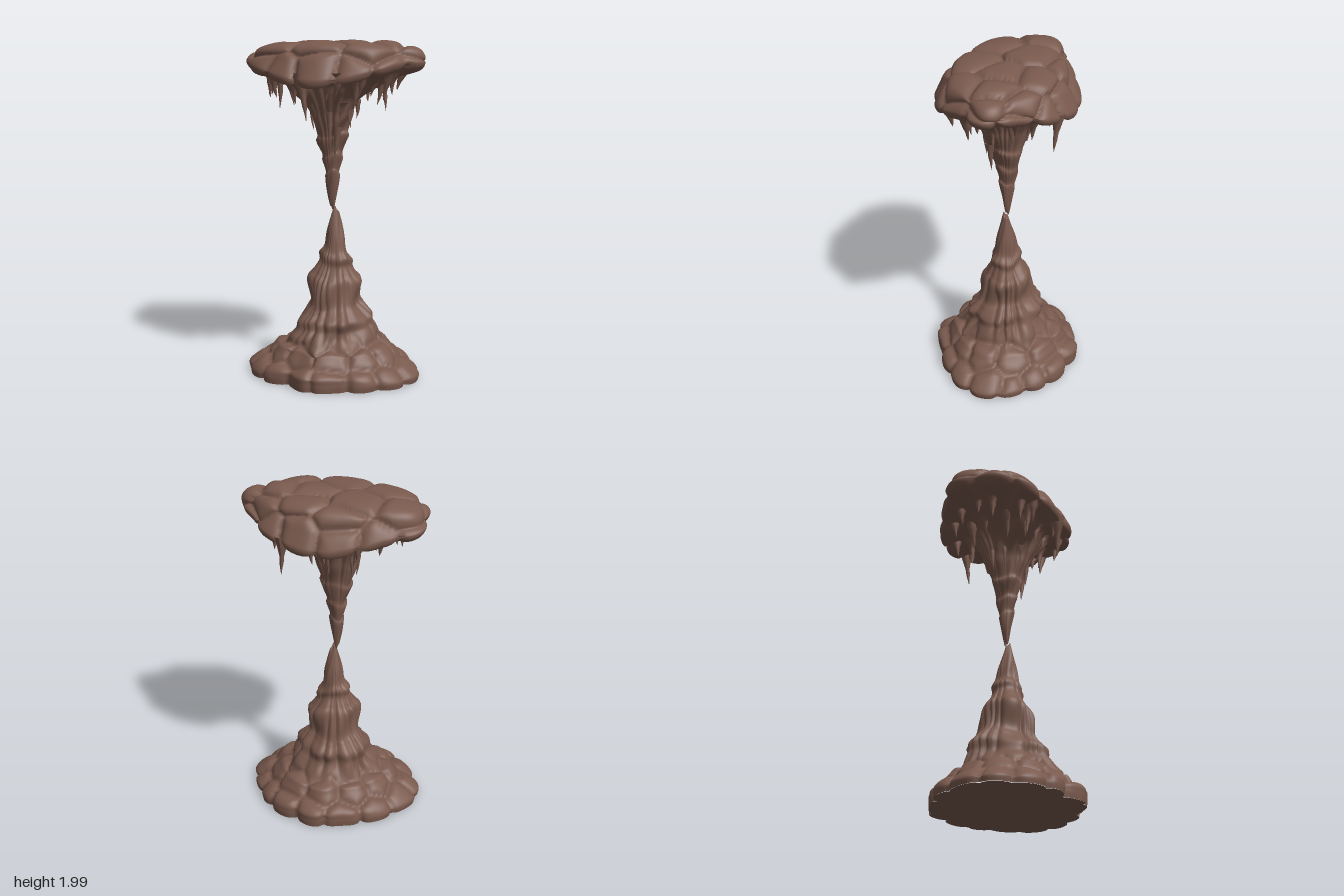
import * as THREE from 'three';

const SEGMENTS = 180, STEPS = 8, TURN = Math.PI * 2;
const { smoothstep } = THREE.MathUtils;

function seeded(seed) {
  return () => {
    seed = (seed * 16807) % 2147483647;
    return seed / 2147483647;
  };
}

// Catmull-Rom blend between profile rows
function spline(rows, t, k) {
  const last = rows.length - 1, i = Math.min(Math.floor(t), last - 1), f = t - i;
  const v = (n) => rows[Math.max(0, Math.min(last, n))][k];
  const [a, b, c, d] = [v(i - 1), v(i), v(i + 1), v(i + 2)];
  return b + 0.5 * f * (c - a + f * (2 * a - 5 * b + 4 * c - d + f * (3 * (b - c) + d - a)));
}

// Plan outline: evenly spaced radius factors, starting at +x and turning towards +z
function planFactor(factors, angle) {
  const t = (angle / TURN) * factors.length, i = Math.floor(t);
  const next = factors[(i + 1) % factors.length];
  return factors[i] + (next - factors[i]) * smoothstep(t - i, 0, 1);
}

// Rounded stones split by creases, from the distances to the two nearest stone centres
function stoneRelief(stones, x, y, z) {
  let d1 = 9, d2 = 9, step = 0;
  for (const s of stones) {
    const d = Math.hypot(x - s[0], (y - s[1]) * 1.1, z - s[2]);
    if (d < d1) { d2 = d1; d1 = d; step = s[3]; } else if (d < d2) d2 = d;
  }
  return -0.036 * Math.exp(-(d2 - d1) / 0.045) - step;
}

// Rows are [y, x radius, z radius]; stony(y) blends flowstone columns into stones
function rockBody({ rows, plan, stones, stony, drop, lean }) {
  const count = (rows.length - 1) * STEPS, pos = [], weights = [], index = [];
  for (let i = 0; i <= count; i++) {
    const [y, rx, rz] = [0, 1, 2].map((k) => spline(rows, i / STEPS, k));
    const w = stony(y), end = Math.min(1, i / STEPS, (count - i) / STEPS);
    for (let j = 0; j < SEGMENTS; j++) {
      const a = (j / SEGMENTS) * TURN, c = Math.cos(a), s = Math.sin(a);
      let r = (1 + w * (planFactor(plan, a) - 1)) / Math.hypot(c / rx, s / rz);
      // Vertical columns and spiral ledges
      const warp = a + 0.16 * Math.sin(3 * a + 1) + 0.09 * Math.sin(5 * a + y * 4);
      const column = Math.abs(Math.sin(warp * 8.5)) * 0.6 + Math.abs(Math.sin(warp * 5)) * 0.4 - 0.7;
      const spiral = 0.05 * Math.sin(2 * a - y * 16) + 0.04 * Math.sin(5 * a + y * 23);
      r *= 1 + (1 - w) * (Math.min(0.18, r) * column + spiral);
      const wave = 0.02 * (1 - w) * end * (Math.sin(a + 0.8 + y * 5) + 0.4 * Math.sin(3 * a + y * 9));
      pos.push(c * r + lean * Math.max(0, 1 - r / 0.3), y + wave - drop(y) * s * s, s * r);
      weights.push(w);
      if (i < count) {
        const p = i * SEGMENTS + j, q = i * SEGMENTS + (j + 1) % SEGMENTS;
        index.push(p, p + SEGMENTS, q, q, p + SEGMENTS, q + SEGMENTS);
      }
    }
  }
  const geo = new THREE.BufferGeometry();
  geo.setAttribute('position', new THREE.Float32BufferAttribute(pos, 3));
  geo.setIndex(index);
  geo.computeVertexNormals();
  // Push the surface in along its normals to carve the stones
  const P = geo.attributes.position, N = geo.attributes.normal;
  for (let i = 0; i < P.count; i++) {
    const [x, y, z] = [P.getX(i), P.getY(i), P.getZ(i)];
    const d = weights[i] * stoneRelief(stones, x, y, z);
    P.setXYZ(i, x + N.getX(i) * d, Math.max(0.005, y + N.getY(i) * d), z + N.getZ(i) * d);
  }
  geo.computeVertexNormals();
  return geo;
}

// Hanging drip: an inverted cone, swollen in places and slightly bent
function dripGeometry(x, z, top, bottom, radius, phase) {
  const h = top - bottom, geo = new THREE.ConeGeometry(radius, h, 10, 6, true);
  geo.rotateX(Math.PI);
  const P = geo.attributes.position;
  for (let i = 0; i < P.count; i++) {
    const t = 0.5 - P.getY(i) / h;
    const swell = 1 - 0.25 * Math.sin(t * Math.PI) + 0.1 * Math.sin(t * 14 + phase);
    P.setX(i, P.getX(i) * swell + 0.012 * Math.sin(t * 3 + phase) - x * 0.06 * t);
    P.setZ(i, P.getZ(i) * swell - z * 0.06 * t);
  }
  geo.computeVertexNormals();
  geo.translate(x, (top + bottom) / 2, z);
  return geo;
}

export function createModel() {
  const group = new THREE.Group();
  const rock = new THREE.MeshStandardMaterial({ color: 0x7a5a4e });
  rock.name = 'brown rock';
  const random = seeded(4127);
  const add = (name, geo, parent = group) => {
    const mesh = new THREE.Mesh(geo, rock);
    mesh.name = name;
    parent.add(mesh);
  };
  const ringOfStones = (n, rx, rz, y, step) => Array.from({ length: n }, (_, i) => {
    const a = ((i + 0.5 * random()) / n) * TURN;
    return [Math.cos(a) * rx, y + (random() - 0.5) * 0.05, Math.sin(a) * rz, random() * step];
  });

  // Stalagmite: stone skirt, then fluted terraces narrowing to a tip
  const stalagmite = rockBody({
    lean: 0.008,
    plan: [1, 0.99, 0.95, 0.93, 1.02, 0.91, 0.99, 1.01, 1.04, 0.97, 0.96, 0.94, 1.03, 0.98, 0.98, 0.95],
    stones: [...ringOfStones(15, 0.48, 0.42, 0.06, 0.012), ...ringOfStones(11, 0.34, 0.32, 0.18, 0.02),
      ...ringOfStones(8, 0.22, 0.24, 0.27, 0.01)],
    stony: (y) => 1 - smoothstep(y, 0.2, 0.3),
    drop: () => 0,
    rows: [
      [0.005, 0.535, 0.455], [0.05, 0.535, 0.457], [0.1, 0.48, 0.45], [0.17, 0.39, 0.37], [0.21, 0.35, 0.34],
      [0.24, 0.28, 0.28], [0.3, 0.215, 0.235], [0.36, 0.21, 0.23], [0.41, 0.18, 0.18], [0.46, 0.15, 0.155],
      [0.58, 0.155, 0.147], [0.63, 0.122, 0.12], [0.68, 0.094, 0.092], [0.725, 0.095, 0.092], [0.77, 0.065, 0.07],
      [0.86, 0.055, 0.05], [0.98, 0.022, 0.02], [1, 0.014, 0.014], [1.002, 0.001, 0.001],
    ],
  });
  add('stalagmite', stalagmite);

  // Flat underside that closes the skirt
  const P = stalagmite.attributes.position;
  const edge = Array.from({ length: SEGMENTS }, (_, j) => new THREE.Vector2(P.getX(j), P.getZ(j)));
  const underside = new THREE.ShapeGeometry(new THREE.Shape(edge));
  underside.rotateX(Math.PI / 2).translate(0, 0.005, 0);
  add('stalagmiteUnderside', underside);

  // Stalactite: twisted tip widening to a ceiling slab; slab stones are [x, z, step down]
  const slabStones = [[-0.43, -0.15, 0], [-0.16, -0.14, 0.003], [-0.32, 0.12, 0.012], [0.12, -0.2, 0.01],
    [0.13, 0, 0.004], [0.32, 0, 0], [0.5, -0.02, 0.008], [0, 0.2, 0.012], [0.28, 0.19, 0.006],
    [0.4, -0.2, 0.014], [-0.1, -0.33, 0.008]].map(([x, z, step]) => [x, 2 - 0.4 * z * z - 0.2 * x * x, z, step]);
  add('stalactite', rockBody({
    lean: -0.018,
    plan: [1.01, 0.89, 0.95, 0.96, 0.99, 0.95, 0.94, 0.97, 0.97, 1.11, 1, 1, 1.03, 1, 0.97, 0.9],
    stones: [...slabStones, ...ringOfStones(13, 0.5, 0.38, 1.8, 0.01)],
    stony: (y) => smoothstep(y, 1.71, 1.82),
    drop: (y) => 0.1 * smoothstep(y, 1.75, 1.83) * (1 - smoothstep(y, 1.88, 1.99)),
    rows: [
      [1.025, 0.001, 0.001], [1.03, 0.014, 0.014], [1.19, 0.044, 0.043], [1.23, 0.041, 0.042], [1.3, 0.061, 0.06],
      [1.34, 0.056, 0.065], [1.42, 0.088, 0.093], [1.46, 0.083, 0.1], [1.54, 0.113, 0.128], [1.6, 0.135, 0.143],
      [1.67, 0.185, 0.175], [1.73, 0.265, 0.22], [1.775, 0.365, 0.285], [1.8, 0.455, 0.35], [1.825, 0.522, 0.4],
      [1.875, 0.56, 0.41], [1.925, 0.54, 0.37], [1.965, 0.485, 0.325], [1.99, 0.37, 0.25], [2, 0.19, 0.14],
      [2.002, 0.002, 0.002],
    ],
  }));

  // Drips in rings under the slab and around the stem, then a few long ones
  const drips = new THREE.Group();
  drips.name = 'drips';
  group.add(drips);
  const ringOfDrips = (n, rx, rz, top, length, radius) => {
    for (let i = 0; i < n; i++) {
      const a = ((i + 0.6 * random()) / n) * TURN, x = Math.cos(a) * rx, z = Math.sin(a) * rz;
      const high = top - 0.03 * Math.sin(a) ** 2;
      add('drip', dripGeometry(x, z, high, high - length * (0.7 + 0.5 * random()), radius, random() * 6), drips);
    }
  };
  ringOfDrips(15, 0.41, 0.33, 1.84, 0.15, 0.045);
  ringOfDrips(11, 0.27, 0.23, 1.79, 0.15, 0.04);
  ringOfDrips(7, 0.13, 0.13, 1.66, 0.16, 0.03);
  for (const [x, z, top, bottom] of [[-0.07, 0.345, 1.8, 1.54], [0.22, -0.33, 1.81, 1.57], [-0.28, 0.2, 1.8, 1.6],
    [0, 0.12, 1.62, 1.4], [0.03, 0.085, 1.5, 1.31]]) {
    add('longDrip', dripGeometry(x, z, top, bottom, 0.17 * (top - bottom), x * 20), drips);
  }
  return group;
}
